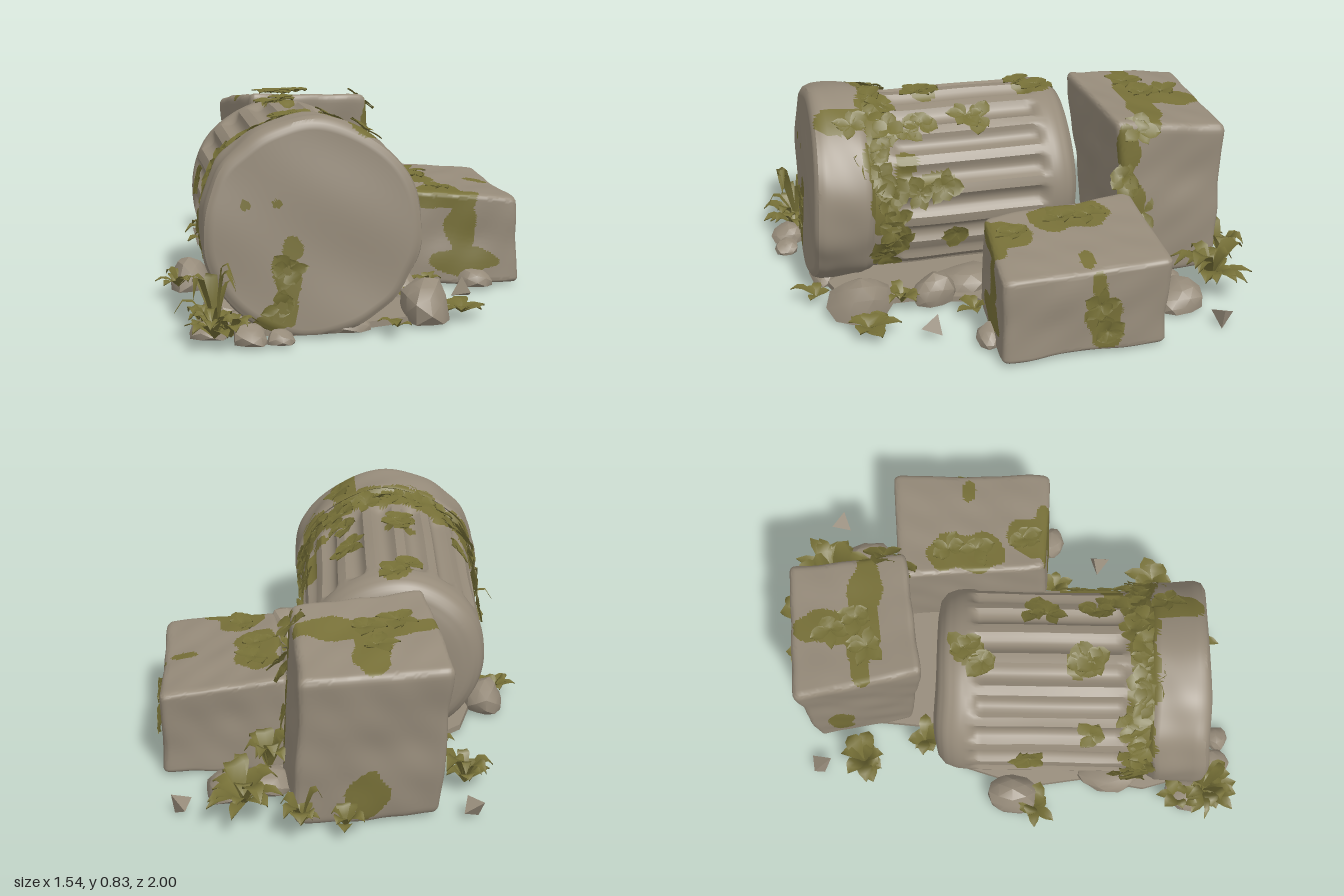
import * as THREE from 'three';
import { mergeGeometries, mergeVertices, toCreasedNormals } from 'three/addons/utils/BufferGeometryUtils.js';

const stone = new THREE.MeshStandardMaterial({ color: 0x968b7a });
const moss = new THREE.MeshStandardMaterial({ color: 0x777038 });
const leaf = new THREE.MeshStandardMaterial({ color: 0x767037, side: THREE.DoubleSide });
stone.name = 'stone'; moss.name = 'moss'; leaf.name = 'leaf';

let seed = 7;
const rand = () => (seed = (seed * 16807) % 2147483647) / 2147483647;
const spread = (a) => (rand() * 2 - 1) * a;
const noise = (x, y, z, f) =>
  (Math.sin(f * x + 1.3 * f * y + 2) + Math.sin(f * y * 1.1 - f * z * 0.9 + 4) + Math.sin(f * z * 1.2 + f * x * 0.8)) / 3;

// Splits triangles into stone and moss groups; patches are ellipsoids [x, y, z, rx, ry, rz]
function paint(geo, patches) {
  const p = geo.attributes.position, idx = geo.index.array, lists = [[], []];
  const c = new THREE.Vector3(), v = new THREE.Vector3();
  for (let i = 0; i < idx.length; i += 3) {
    c.set(0, 0, 0);
    for (let k = 0; k < 3; k++) c.add(v.fromBufferAttribute(p, idx[i + k]));
    c.divideScalar(3);
    const edge = 1 + 0.55 * noise(c.x, c.y, c.z, 32);
    const green = patches.some(([x, y, z, a, b, d]) =>
      ((c.x - x) / a) ** 2 + ((c.y - y) / b) ** 2 + ((c.z - z) / d) ** 2 < edge);
    lists[+green].push(idx[i], idx[i + 1], idx[i + 2]);
  }
  geo.setIndex([...lists[0], ...lists[1]]);
  geo.clearGroups();
  geo.addGroup(0, lists[0].length, 0);
  geo.addGroup(lists[0].length, lists[1].length, 1);
  return toCreasedNormals(geo, 0.7);
}

// Height of the column axis at depth z
const axisY = (z) => 0.38 + 0.014 * THREE.MathUtils.smoothstep(z, 0.4, 0.65);

// Fluted drum lying along z, back to front
function columnGeometry() {
  const profile = [[-0.28, 0, 0], [-0.28, 0.26, 6], [-0.265, 0.32, 3], [-0.235, 0.354, 3], [-0.19, 0.37, 3],
    [-0.14, 0.373, 3], [0.52, 0.373, 34], [0.585, 0.38, 5], [0.6, 0.395, 2], [0.62, 0.408, 2], [0.79, 0.413, 9],
    [0.82, 0.404, 2], [0.835, 0.38, 2], [0.835, 0, 30]];
  const rings = [[-0.28, 0.001]];
  for (let i = 1; i < profile.length; i++) {
    const [z0, r0] = profile[i - 1], [z1, r1, n] = profile[i];
    for (let k = 1; k <= n; k++) rings.push([z0 + (z1 - z0) * k / n, Math.max(0.001, r0 + (r1 - r0) * k / n)]);
  }
  const N = 180, pos = [], idx = [];
  rings.forEach(([z, r], j) => {
    for (let i = 0; i < N; i++) {
      const a = i / N * Math.PI * 2, ca = Math.cos(a), sa = Math.sin(a);
      const ends = THREE.MathUtils.smoothstep(z, -0.15, -0.1) * (1 - THREE.MathUtils.smoothstep(z, 0.46, 0.52));
      const groove = Math.max(0, Math.sin(a * 18) + 0.3) / 1.3;
      const chips = z > 0.59 ? 0.016 * noise(ca, sa, z * 3, 9) : 0;
      const wear = 1 + 0.01 * noise(ca, sa, z * 2, 5) + chips;
      const rr = (r - 0.028 * ends * Math.sqrt(groove)) * wear;
      const x = -0.215 + rr * ca, y = Math.max(0.003, axisY(z) + rr * sa);
      const lean = z > 0.6 ? 0.05 * (0.35 - y) : 0;
      pos.push(x, y, z + lean + 0.009 * noise(x, y, z, 11));
      if (j < rings.length - 1) {
        const p = j * N + i, q = j * N + (i + 1) % N;
        idx.push(p, q, q + N, p, q + N, p + N);
      }
    }
  });
  const g = new THREE.BufferGeometry();
  g.setAttribute('position', new THREE.Float32BufferAttribute(pos, 3));
  g.setIndex(idx);
  return g;
}

// Worn block spanned by four bottom and four top corners
function blockGeometry(corners) {
  let g = new THREE.BoxGeometry(2, 2, 2, 50, 50, 50);
  g.deleteAttribute('uv'); g.deleteAttribute('normal');
  g = mergeVertices(g, 1e-4);
  const C = corners.map((c) => new THREE.Vector3(...c));
  const p = g.attributes.position, v = new THREE.Vector3(), core = new THREE.Vector3();
  for (let i = 0; i < p.count; i++) {
    v.fromBufferAttribute(p, i);
    core.copy(v).clampScalar(-0.9, 0.9);
    v.sub(core).normalize().multiplyScalar(0.1).add(core);
    const [s, t, u] = [(v.x + 1) / 2, (v.y + 1) / 2, (v.z + 1) / 2], out = new THREE.Vector3();
    [[0, 0], [1, 0], [1, 1], [0, 1]].forEach(([a, b], k) => {
      const w = (a ? s : 1 - s) * (b ? u : 1 - u);
      out.addScaledVector(C[k], w * (1 - t)).addScaledVector(C[k + 4], w * t);
    });
    const w = 0.011 * noise(out.x, out.y, out.z, 11) + 0.004 * noise(out.z, out.x, out.y, 29);
    out.addScaledVector(v.normalize(), w);
    p.setXYZ(i, out.x, Math.max(0, out.y), out.z);
  }
  return g;
}

// Angular pebble resting on the ground
function rockGeometry(rx, h, rz) {
  let g = new THREE.IcosahedronGeometry(1, 1);
  g.deleteAttribute('uv'); g.deleteAttribute('normal');
  g = mergeVertices(g, 1e-4);
  const p = g.attributes.position, off = rand() * 20;
  for (let i = 0; i < p.count; i++) {
    const x = p.getX(i), y = p.getY(i), z = p.getZ(i), w = 1 + 0.2 * noise(x + off, y, z, 2.8);
    p.setXYZ(i, x * w * rx, Math.max(0, (y * w + 0.35) / 1.35 * h), z * w * rz);
  }
  return toCreasedNormals(g, 0.55);
}

// Arching, pointed leaves fanned around a surface normal
function tuft([x, y, z], normal, radius, rise, count, width) {
  const leaves = [], turn = new THREE.Quaternion().setFromUnitVectors(
    new THREE.Vector3(0, 1, 0), new THREE.Vector3(...normal).normalize());
  for (let n = 0; n < count; n++) {
    const a = (n + spread(0.5)) / count * Math.PI * 2, len = radius * (0.55 + 0.6 * rand());
    const up = rise * (0.4 + 0.8 * rand()), broad = width * (0.6 + 0.5 * rand());
    const pos = [], idx = [];
    [0.12, 0.45, 0.65, 0.5, 0].forEach((w, j) => {
      const t = j / 4, d = len * t, h = up * Math.sin(t * 2.4);
      for (const s of [-1, 0, 1]) {
        const e = s * w * broad;
        pos.push(d * Math.cos(a) - e * Math.sin(a), h - (s ? 0 : 0.12 * broad), d * Math.sin(a) + e * Math.cos(a));
      }
      if (j) for (const s of [0, 1]) {
        const b = (j - 1) * 3 + s;
        idx.push(b, b + 1, b + 4, b, b + 4, b + 3);
      }
    });
    const g = new THREE.BufferGeometry();
    g.setAttribute('position', new THREE.Float32BufferAttribute(pos, 3));
    g.setIndex(idx);
    g.computeVertexNormals();
    leaves.push(g.applyQuaternion(turn).translate(x, y, z));
  }
  return mergeGeometries(leaves);
}

export function createModel() {
  seed = 7;
  const model = new THREE.Group();
  const add = (name, geo, mat) => {
    const m = new THREE.Mesh(geo, mat);
    m.name = name;
    model.add(m);
    return m;
  };

  add('flutedColumn', paint(columnGeometry(), [
    [-0.21, 0.55, 0.555, 0.5, 0.38, 0.065], [-0.02, 0.76, 0.68, 0.06, 0.1, 0.12],
    [-0.32, 0.2, 0.83, 0.055, 0.15, 0.06], [-0.3, 0.33, 0.83, 0.045, 0.05, 0.06], [-0.36, 0.06, 0.83, 0.07, 0.05, 0.06],
    [-0.47, 0.5, 0.83, 0.018, 0.018, 0.05], [-0.35, 0.5, 0.83, 0.025, 0.02, 0.05],
    [-0.22, 0.75, -0.15, 0.07, 0.08, 0.08], [-0.26, 0.75, 0.3, 0.06, 0.08, 0.06],
    [0.16, 0.5, 0.35, 0.1, 0.04, 0.12], [0.12, 0.6, 0.44, 0.08, 0.08, 0.06]]), [stone, moss]);

  add('tallBlock', paint(blockGeometry([
    [-0.37, 0, -0.8], [0.2, 0, -0.86], [0.25, 0, -0.49], [-0.28, 0, -0.4],
    [-0.41, 0.67, -0.84], [0.17, 0.65, -0.89], [0.21, 0.73, -0.41], [-0.32, 0.765, -0.32]]), [
    [-0.05, 0.72, -0.57, 0.28, 0.1, 0.07], [-0.1, 0.7, -0.71, 0.09, 0.1, 0.13], [0.22, 0.6, -0.46, 0.05, 0.14, 0.05],
    [0.22, 0.25, -0.5, 0.06, 0.2, 0.05], [-0.08, 0.12, -0.86, 0.08, 0.12, 0.08], [-0.38, 0.22, -0.68, 0.06, 0.15, 0.06]]),
  [stone, moss]);

  add('lowBlock', paint(blockGeometry([
    [0.2, 0, -0.46], [0.73, 0, -0.48], [0.76, 0, 0.19], [0.25, 0, 0.18],
    [0.22, 0.43, -0.46], [0.725, 0.37, -0.5], [0.74, 0.355, 0.18], [0.28, 0.41, 0.17]]), [
    [0.35, 0.42, -0.17, 0.09, 0.06, 0.18], [0.42, 0.4, 0.08, 0.1, 0.06, 0.09], [0.65, 0.38, -0.17, 0.06, 0.04, 0.03],
    [0.45, 0.37, 0.17, 0.14, 0.06, 0.06], [0.5, 0.24, 0.18, 0.065, 0.13, 0.06], [0.51, 0.1, 0.18, 0.15, 0.06, 0.06],
    [0.75, 0.13, -0.22, 0.05, 0.13, 0.07], [0.74, 0.28, -0.2, 0.05, 0.09, 0.03]]), [stone, moss]);

  // Flat rubble slab filling the gaps under the stones
  const outline = [[-0.3, -0.55], [-0.32, -0.3], [-0.5, -0.16], [-0.58, 0.1], [-0.54, 0.35], [-0.58, 0.6], [-0.52, 0.8],
    [-0.3, 0.84], [0, 0.78], [0.2, 0.72], [0.2, 0.45], [0.26, 0.2], [0.4, 0.1], [0.4, -0.35], [0.3, -0.62]];
  const slab = new THREE.ExtrudeGeometry(new THREE.Shape(outline.map(([x, z]) => new THREE.Vector2(x, -z))),
    { depth: 0.025, bevelEnabled: false }).rotateX(-Math.PI / 2);
  add('groundSlab', slab, stone);

  // Fallen stones: x, z, half width, height, half depth
  [[0.24, 0.67, 0.1, 0.16, 0.13], [0.2, 0.36, 0.08, 0.12, 0.09], [-0.62, 0.04, 0.085, 0.12, 0.11],
    [0.45, -0.62, 0.11, 0.1, 0.1], [0.3, -0.58, 0.11, 0.08, 0.1], [0.56, 0.2, 0.075, 0.07, 0.05],
    [-0.46, 0.9, 0.07, 0.07, 0.07], [-0.35, 0.92, 0.055, 0.05, 0.05], [-0.6, 0.78, 0.08, 0.06, 0.09],
    [-0.1, 0.78, 0.11, 0.07, 0.06], [0.12, 0.2, 0.11, 0.09, 0.13], [-0.53, 0.45, 0.07, 0.07, 0.13]]
    .forEach(([x, z, rx, h, rz]) => add('rubbleStone', rockGeometry(rx, h, rz), stone).position.set(x, 0, z));
  [[-0.5, -0.79], [0.64, -0.75], [0.46, 0.41]].forEach(([x, z], i) => {
    const chip = add('stoneChip', new THREE.TetrahedronGeometry(0.055), stone);
    chip.position.set(x, 0.035, z);
    chip.rotation.set(0.4, i * 1.3, 0.3);
  });

  // Ground plants: position, radius, rise, leaf count, leaf width
  const up = [0, 1, 0];
  const plants = [
    [[-0.59, 0.02, 0.88], 0.12, 0.1, 12, 0.055], [[-0.53, 0.02, 0.87], 0.12, 0.08, 9, 0.05],
    [[-0.48, 0.03, -0.6], 0.1, 0.12, 14, 0.055], [[0.39, 0.06, -0.78], 0.16, 0.13, 18, 0.065],
    [[0.17, 0.04, -0.9], 0.1, 0.13, 11, 0.055], [[0.3, 0.05, -0.53], 0.1, 0.14, 10, 0.055],
    [[-0.67, 0.03, 0.13], 0.1, 0.07, 9, 0.055], [[0.39, 0.02, 0.66], 0.12, 0.03, 8, 0.07],
    [[0.1, 0.02, 0.84], 0.1, 0.04, 5, 0.045], [[-0.38, 0.02, -0.34], 0.1, 0.08, 8, 0.05],
    [[0.22, 0.02, 0.5], 0.09, 0.06, 8, 0.05], [[0, 0.02, -0.89], 0.08, 0.08, 7, 0.05],
    [[0.35, 0.02, 0.22], 0.08, 0.04, 6, 0.05], [[-0.62, 0.02, 0.75], 0.09, 0.08, 8, 0.05]].map(([p, ...r]) => tuft(p, up, ...r));
  // Tall curling shoots at the corner
  plants.push(tuft([-0.58, 0.02, 0.85], [-0.1, 1, 0.1], 0.13, 0.24, 8, 0.035));
  add('groundPlants', mergeGeometries(plants), leaf);

  // Creeper leaves: band around the shaft, then loose clusters
  const creeper = [];
  for (let i = 0; i < 30; i++) {
    const a = -0.6 + i / 29 * 4.3, r = 0.385, c = Math.cos(a), s = Math.sin(a), z = 0.535 + spread(0.045);
    creeper.push(tuft([-0.215 + r * c, axisY(z) + r * s, z], [c, s, spread(0.3)], 0.085, 0.015, 5, 0.06));
  }
  [[1.55, -0.17], [1.7, -0.09], [1.05, 0.12], [1.1, 0.17], [1.7, 0.3], [1.65, 0.35], [1.05, 0.36], [0.95, 0.42],
    [0.25, 0.4], [0.3, 0.3], [-0.3, 0.25], [2.5, 0.35], [2.9, 0.1], [1.0, 0.65]].forEach(([a, z]) => {
    const r = z > 0.6 ? 0.415 : 0.376, c = Math.cos(a), s = Math.sin(a);
    creeper.push(tuft([-0.215 + r * c, axisY(z) + r * s, z], [c, s, 0], 0.08, 0.01, 6, 0.055));
  });
  [[[-0.12, 0.71, -0.7], up], [[-0.08, 0.73, -0.6], up], [[-0.2, 0.735, -0.55], up], [[0.21, 0.69, -0.5], [0.8, 1, 0]],
    [[0.24, 0.45, -0.46], [1, 0.5, 0.6]], [[0.24, 0.5, -0.43], [0.7, 0.8, 0.5]], [[0.23, 0.32, -0.52], [1, 0.3, 0]],
    [[0.36, 0.415, -0.25], up], [[0.36, 0.415, -0.13], up], [[0.42, 0.4, 0.07], up], [[0.75, 0.22, -0.2], [1, 0, 0]],
    [[0.755, 0.1, -0.23], [1, 0, 0]], [[-0.31, 0.25, 0.84], [0, 0, 1]], [[-0.34, 0.12, 0.845], [0, 0, 1]]]
    .forEach(([p, n]) => creeper.push(tuft(p, n, 0.08, 0.012, 6, 0.055)));
  add('creeperLeaves', mergeGeometries(creeper), leaf);
  return model;
}
